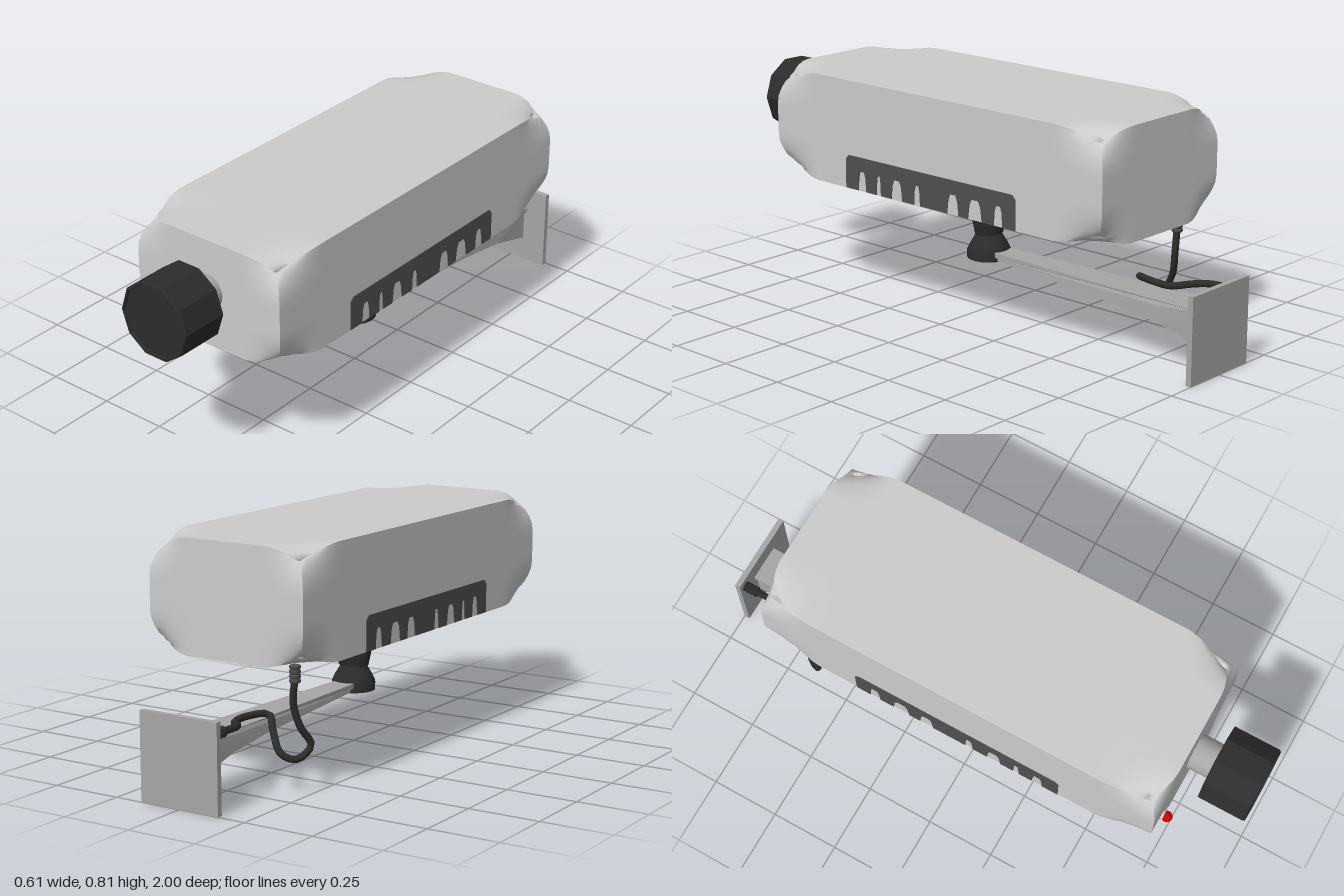
import * as THREE from 'three';
import { toCreasedNormals } from 'three/addons/utils/BufferGeometryUtils.js';

const mat = (name, color, extra = {}) => Object.assign(new THREE.MeshStandardMaterial({ color, ...extra }), { name });

export function createModel() {
  const model = new THREE.Group();
  const shell = mat('light grey shell', 0xcccccc);
  const metal = mat('grey metal', 0xa6a6a6);
  const black = mat('black plastic', 0x2c2c2c);
  const dark = mat('dark grey vent', 0x4f4f4f);
  const red = mat('red lamp', 0xcc0000);

  const add = (name, geo, material, x = 0, y = 0, z = 0) => {
    const m = new THREE.Mesh(geo, material);
    m.name = name;
    m.position.set(x, y, z);
    model.add(m);
    return m;
  };
  const crease = (g, a = 0.6) => toCreasedNormals(g, a);
  const lathe = (pts, n) => new THREE.LatheGeometry(pts.map(p => new THREE.Vector2(...p)), n);

  // Housing: a box whose eight corners are softly drawn in
  const half = [0.3, 0.193, 0.75], reach = [0.15, 0.13, 0.2], pull = 0.05;
  const box = new THREE.BoxGeometry(0.6, 0.386, 1.5, 20, 14, 44);
  const pos = box.attributes.position;
  for (let i = 0; i < pos.count; i++) {
    const p = [pos.getX(i), pos.getY(i), pos.getZ(i)];
    const b = p.map((v, k) => Math.max(0, 1 - (half[k] - Math.abs(v)) / reach[k]) ** 1.6);
    const q = p.map((v, k) => v - Math.sign(v) * pull * b[0] * b[1] * b[2] / (b[k] || 1) * (Math.abs(v) / half[k]) ** 8);
    pos.setXYZ(i, ...q);
  }
  add('housing', crease(box, 0.95), shell, 0, 0.618, 0);

  // Side vents: thin comb-shaped plates, slots open at the bottom
  const slots = [[0.34, 0.30], [0.25, 0.228], [0.178, 0.125], [0.07, 0.04], [-0.085, -0.138], [-0.18, -0.243], [-0.295, -0.335]];
  for (const side of [1, -1]) {
    const s = new THREE.Shape();
    const to = (z, y) => s.lineTo(-side * z, y);
    s.moveTo(-side * 0.4, 0.426);
    for (const [a, b] of slots) {
      const m = (a - b) * 0.25;
      to(a, 0.426); to(a - m * 0.4, 0.475); to(a - m, 0.495);
      to(b + m, 0.495); to(b + m * 0.4, 0.475); to(b, 0.426);
    }
    to(-0.39, 0.426); to(-0.39, 0.53); to(-0.375, 0.545);
    to(0.385, 0.545); to(0.4, 0.53);
    const g = new THREE.ExtrudeGeometry(s, { depth: 0.004, bevelEnabled: false });
    g.rotateY(side * Math.PI / 2);
    add(side > 0 ? 'leftVent' : 'rightVent', g, dark, side * 0.299, 0, 0);
  }

  // Lens barrel and ten-sided hood with a shallow rim
  const barrel = new THREE.CylinderGeometry(0.063, 0.063, 0.12, 20);
  add('lensBarrel', barrel.rotateX(Math.PI / 2), metal, 0, 0.627, 0.79);
  const hood = lathe([[0, 0.83], [0.138, 0.83], [0.138, 0.995], [0.134, 1], [0.127, 1], [0.125, 0.993], [0, 0.993]], 10);
  add('lensHood', crease(hood.rotateY(Math.PI / 2).rotateX(Math.PI / 2), 0.4), black, 0, 0.627, 0);

  // Indicator lamp
  add('lampBase', new THREE.CylinderGeometry(0.018, 0.018, 0.025, 12).rotateX(Math.PI / 2), shell, -0.212, 0.507, 0.755);
  add('lamp', new THREE.SphereGeometry(0.02, 12, 8), red, -0.212, 0.507, 0.765);

  // Swivel mount: collar, flattened fork and foot
  add('mountCollar', crease(lathe([[0, 0.385], [0.072, 0.385], [0.078, 0.395], [0.092, 0.426], [0, 0.426]], 16)), black);
  const fork = add('mountFork', crease(lathe([[0, 0.275], [0.055, 0.275], [0.065, 0.32], [0.071, 0.39], [0, 0.39]], 16)), black);
  fork.scale.z = 0.8;
  add('mountFoot', crease(lathe([[0, 0.188], [0.077, 0.188], [0.077, 0.217], [0.066, 0.24], [0.036, 0.29], [0.02, 0.33], [0, 0.33]], 16)), black);

  // Bracket arm: side profiles given as [z, y], narrowing towards the mount
  const arm = (name, profile, back, front) => {
    const s = new THREE.Shape(profile.map(([z, y]) => new THREE.Vector2(-z, y)));
    const g = new THREE.ExtrudeGeometry(s, { depth: 2, bevelEnabled: false }).translate(0, 0, -1).rotateY(Math.PI / 2);
    const p = g.attributes.position;
    for (let i = 0; i < p.count; i++) {
      const t = Math.min(1, -p.getZ(i) / 0.8);
      p.setX(i, p.getX(i) * (front + (back - front) * t));
    }
    g.computeVertexNormals();
    add(name, g, metal);
  };
  arm('armFlange', [[-0.03, 0.222], [-0.8, 0.222], [-0.985, 0.222], [-0.985, 0.204], [-0.8, 0.204], [-0.03, 0.204]], 0.066, 0.038);
  arm('armWeb', [[-0.03, 0.21], [-0.985, 0.21], [-0.985, 0.088], [-0.8, 0.14], [-0.6, 0.163], [-0.03, 0.193]], 0.055, 0.03);

  // Wall plate
  add('wallPlate', new THREE.BoxGeometry(0.3, 0.3, 0.02), metal, 0, 0.15, -0.99);

  // Cable with ribbed glands at both ends
  const path = [
    [-0.208, 0.38, -0.662], [-0.2, 0.3, -0.662], [-0.215, 0.22, -0.645], [-0.235, 0.155, -0.612],
    [-0.21, 0.115, -0.66], [-0.17, 0.135, -0.69], [-0.12, 0.195, -0.66], [-0.07, 0.234, -0.612],
    [-0.04, 0.24, -0.69], [-0.045, 0.238, -0.765], [-0.09, 0.243, -0.81], [-0.115, 0.25, -0.86],
    [-0.12, 0.253, -0.93], [-0.12, 0.253, -0.98],
  ].map(p => new THREE.Vector3(...p));
  const curve = new THREE.CatmullRomCurve3(path, false, 'centripetal');
  add('cable', new THREE.TubeGeometry(curve, 48, 0.012, 8), black);
  const ribs = [[0, 0], [0.016, 0]];
  for (let i = 0; i < 4; i++) ribs.push([0.019, 0.004 + i * 0.015], [0.019, 0.011 + i * 0.015], [0.015, 0.013 + i * 0.015]);
  ribs.push([0, 0.062]);
  add('housingGland', crease(lathe(ribs, 12)), dark, -0.208, 0.366, -0.662);
  add('wallGland', crease(lathe(ribs, 12).rotateX(Math.PI / 2)), black, -0.12, 0.253, -0.985);

  return model;
}
